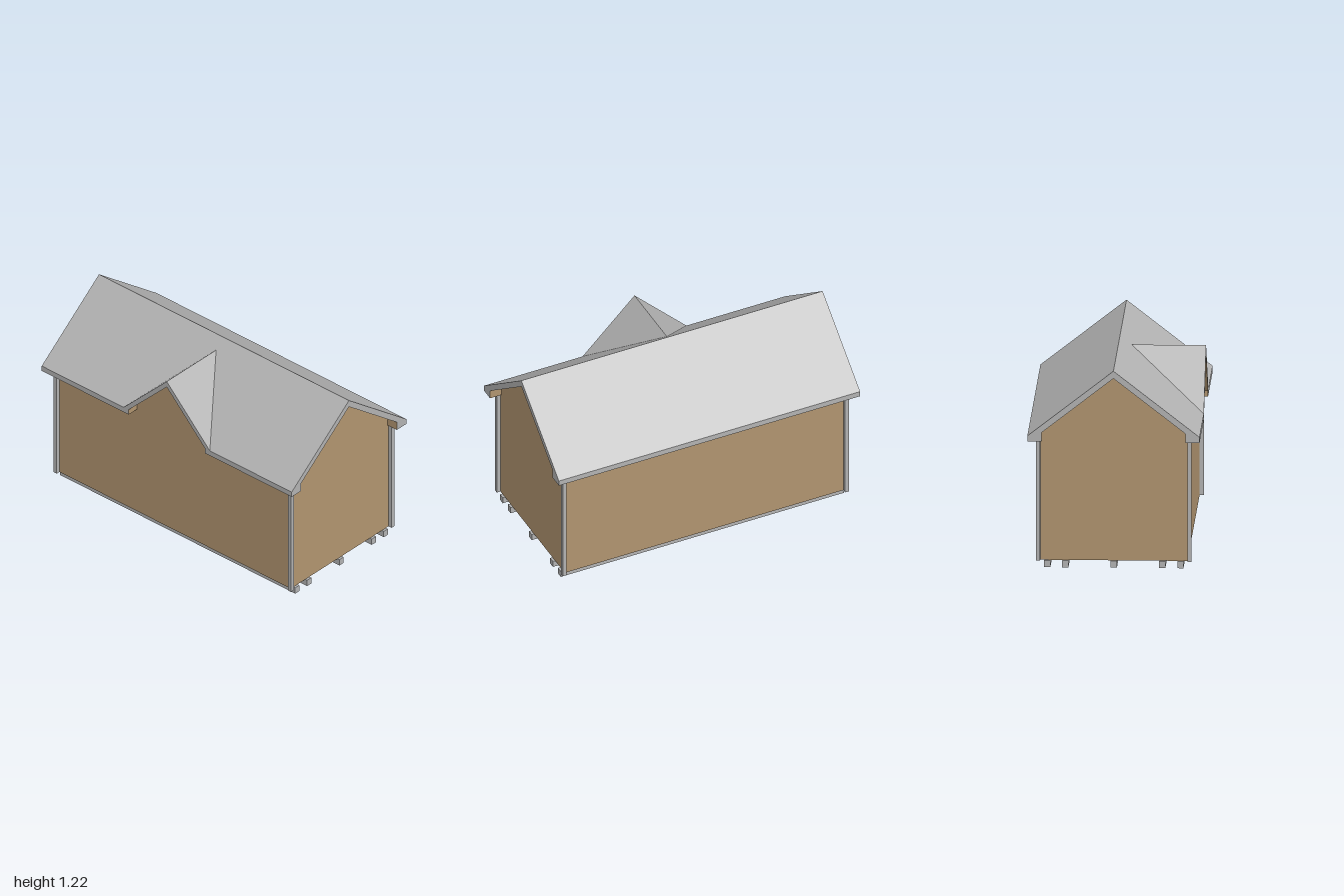
import * as THREE from 'three';

export function createModel() {
  const model = new THREE.Group();
  const grey = new THREE.MeshStandardMaterial({ color: 0xb2b2b2, side: THREE.DoubleSide });
  grey.name = 'grey trim and roofing';
  const tan = new THREE.MeshStandardMaterial({ color: 0xb0946f, side: THREE.DoubleSide });
  tan.name = 'tan boarding';

  // Flat sheet: a 2D outline placed in space by a rule (a, b) -> [x, y, z]
  function sheet(name, mat, outline, place) {
    const shape = new THREE.Shape(outline.map(([a, b]) => new THREE.Vector2(a, b)));
    const geo = new THREE.ShapeGeometry(shape);
    const p = geo.attributes.position;
    for (let i = 0; i < p.count; i++) p.setXYZ(i, ...place(p.getX(i), p.getY(i)));
    geo.computeVertexNormals();
    const mesh = new THREE.Mesh(geo, mat);
    mesh.name = name;
    model.add(mesh);
  }
  function box(name, w, h, d, x, y, z) {
    const mesh = new THREE.Mesh(new THREE.BoxGeometry(w, h, d), grey);
    mesh.name = name;
    mesh.position.set(x, y, z);
    model.add(mesh);
  }
  const rect = (a0, a1, b0, b1) => [[a0, b0], [a1, b0], [a1, b1], [a0, b1]];
  // Outline symmetric about a = 0, given its right half from bottom to top
  const mirrored = (half) => [...half, ...half.slice().reverse().map(([a, b]) => [-a, b])];

  // Main sizes
  const ridge = 1.215, under = 1.17, eave = 0.815, low = 0.78;
  const eaveZ = 0.515, innerZ = 0.43, wallX = 0.925, wallZ = 0.44, base = 0.042;
  const slope = (ridge - eave) / eaveZ;
  const innerY = under - innerZ * slope;
  const peak = 1.16, peakIn = 1.12, dormerX = 0.345, dormerIn = 0.305;
  const valleyX = peakIn - innerY;

  // Skids under the building
  for (const z of [-0.398, -0.29, 0, 0.29, 0.398]) box('skid', 1.88, base, 0.037, 0, base / 2, z);

  // Walls, open underneath
  sheet('frontWall', tan,
    [[-wallX, base], [wallX, base], [wallX, 0.81], [0.31, 0.81], [0, peakIn], [-0.31, 0.81], [-wallX, 0.81]],
    (x, y) => [x, y, wallZ]);
  sheet('backWall', tan, rect(-wallX, wallX, base, 0.81), (x, y) => [x, y, -wallZ]);
  for (const s of [-1, 1]) {
    sheet('endWall', tan, [[-wallZ, base], [wallZ, base], [wallZ, 0.828], [0, under], [-wallZ, 0.828]],
      (z, y) => [s * wallX, y, z]);
    for (const t of [-1, 1])
      box('cornerPost', 0.025, low - base, 0.025, s * 0.9375, (low + base) / 2, t * 0.4525);
  }

  // Main roof slopes, the front ones notched for the dormer
  const outer = (y) => (ridge - y) / slope, inner = (y) => (under - y) / slope;
  sheet('backRoof', grey, rect(-1, 1, eave, ridge), (x, y) => [x, y, -outer(y)]);
  sheet('backRoofUnderside', tan, rect(-1, 1, innerY, under), (x, y) => [x, y, -inner(y)]);
  sheet('frontRoof', grey,
    [[-1, eave], [-dormerX, eave], [0, peak], [dormerX, eave], [1, eave], [1, ridge], [-1, ridge]],
    (x, y) => [x, y, outer(y)]);
  sheet('frontRoofUnderside', tan,
    [[-1, innerY], [-valleyX, innerY], [0, peakIn], [valleyX, innerY], [1, innerY], [1, under], [-1, under]],
    (x, y) => [x, y, inner(y)]);

  // Gable ends of the roof
  for (const s of [-1, 1])
    sheet('rakeBoard', grey,
      [[eaveZ, low], [eaveZ, eave], [0, ridge], [-eaveZ, eave], [-eaveZ, low],
        [-innerZ, low], [-innerZ, innerY], [0, under], [innerZ, innerY], [innerZ, low]],
      (z, y) => [s, y, z]);

  // Back eave
  sheet('backFascia', grey, rect(-1, 1, low, eave), (x, y) => [x, y, -eaveZ]);
  sheet('backSoffit', tan, rect(-1, 1, innerZ, eaveZ), (x, z) => [x, low, -z]);
  sheet('backEaveInside', tan, rect(-1, 1, low, innerY), (x, y) => [x, y, -innerZ]);

  // Front fascia, rising around the dormer
  sheet('frontFascia', grey,
    [[-1, low], [-dormerIn, low], [-dormerIn, eave], [0, peakIn], [dormerIn, eave], [dormerIn, low],
      [1, low], [1, eave], [dormerX, eave], [0, peak], [-dormerX, eave], [-1, eave]],
    (x, y) => [x, y, eaveZ]);

  // Front eave and dormer, one half at a time
  for (const s of [-1, 1]) {
    sheet('frontSoffit', tan, rect(dormerIn, 1, innerZ, eaveZ), (x, z) => [s * x, low, z]);
    sheet('frontEaveInside', tan, rect(dormerIn, 1, low, innerY), (x, y) => [s * x, y, innerZ]);
    sheet('eaveReturn', tan, rect(innerZ, eaveZ, low, eave), (z, y) => [s * dormerIn, y, z]);
    sheet('dormerRoof', grey, [[0, eaveZ], [dormerX, eaveZ], [0, outer(peak)]],
      (x, z) => [s * x, peak - x, z]);
    sheet('dormerUnderside', tan,
      [[0, eaveZ], [dormerIn, eaveZ], [dormerIn, innerZ], [valleyX, innerZ], [0, inner(peakIn)]],
      (x, z) => [s * x, peakIn - x, z]);
  }
  return model;
}
